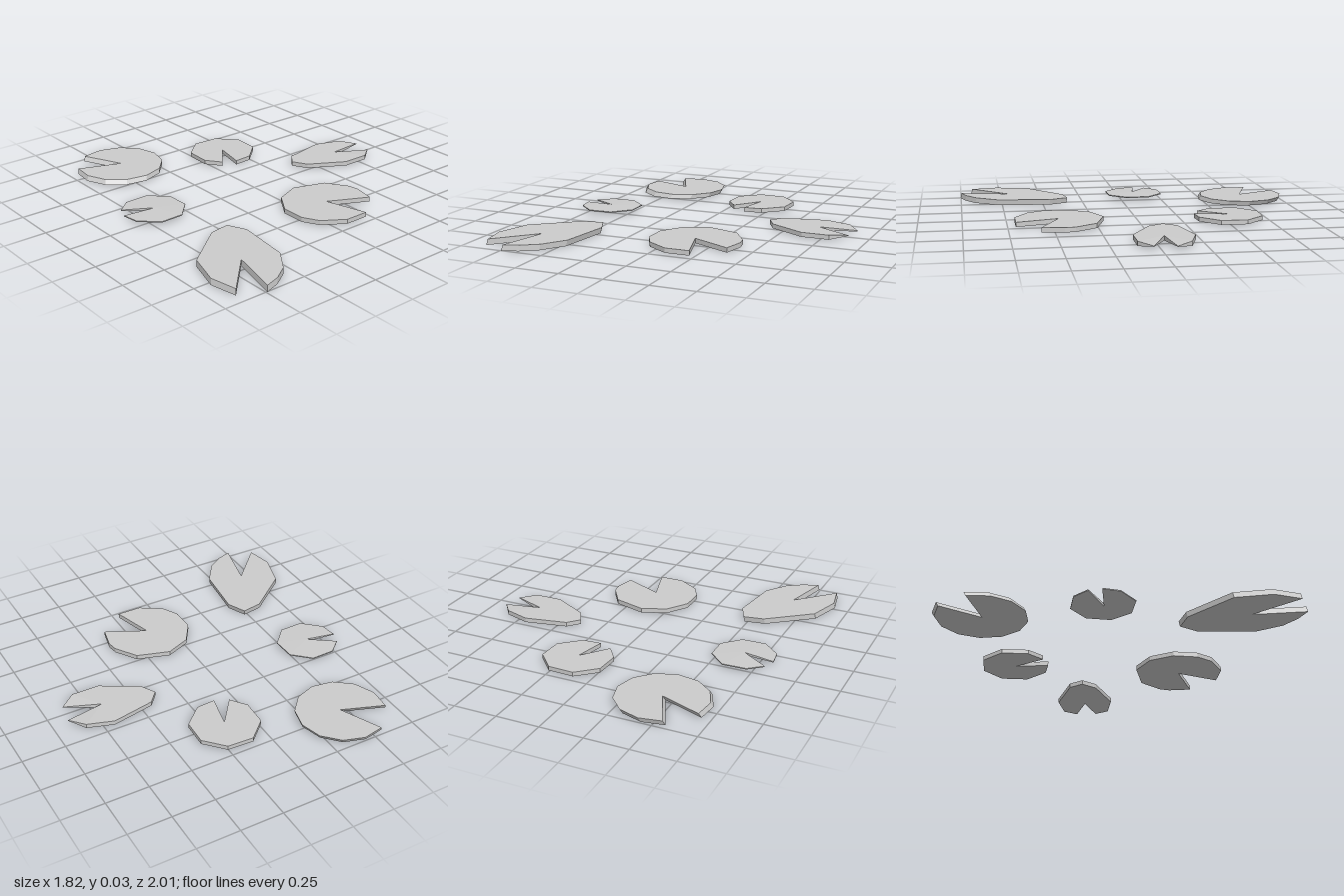
import * as THREE from 'three';

const material = new THREE.MeshStandardMaterial({ color: 0xcccccc, flatShading: true });

// Evenly spaced angles in degrees
const steps = (first, step, count) => Array.from({ length: count }, (_, i) => first + i * step);

// Rim of a round leaf: points on a circle, running from one notch tip to the other
function roundRim(x, z, radius, angles) {
  return angles.map((degrees) => {
    const a = THREE.MathUtils.degToRad(degrees);
    return [x + radius * Math.cos(a), z + radius * Math.sin(a)];
  });
}

// A flat leaf: a fan from the notch point above and below, joined by a wall.
// lean shifts the top sideways, pinch thins the notch tips, bulge thickens the heart.
function pad(name, heart, rim, { low, high, lean = 0, pinch = 0, bulge = 0 }) {
  const points = [heart, ...rim];
  const n = points.length;
  const middle = THREE.MathUtils.lerp(low, high, 0.65);

  // Top ring followed by bottom ring
  const positions = [];
  for (const side of [1, -1]) {
    points.forEach(([x, z], i) => {
      let y = side > 0 ? high : low;
      if (i === 0) y += side * bulge;
      if (i === 1 || i === n - 1) y = THREE.MathUtils.lerp(y, middle, pinch);
      positions.push(x + side * lean, y, z - side * lean);
    });
  }

  const index = [];
  for (let i = 0; i < n; i++) {
    const j = (i + 1) % n;
    if (i > 0 && j > 0) index.push(0, j, i, n, n + i, n + j);
    index.push(i, j, n + i, j, n + j, n + i);
  }

  const ring = new THREE.BufferGeometry();
  ring.setAttribute('position', new THREE.Float32BufferAttribute(positions, 3));
  ring.setIndex(index);
  const geometry = ring.toNonIndexed();
  geometry.computeVertexNormals();
  const mesh = new THREE.Mesh(geometry, material);
  mesh.name = name;
  return mesh;
}

export function createModel() {
  const group = new THREE.Group();
  group.name = 'lilyPads';

  // Two large round pads
  group.add(pad('backRoundPad', [-0.45, -0.74],
    roundRim(-0.45, -0.743, 0.257, steps(245, 28.64, 12)),
    { low: 0.003, high: 0.03, lean: 0.006 }));
  group.add(pad('frontRoundPad', [0.15, 0.46],
    roundRim(0.15, 0.457, 0.258, [74, 106, 140, 164, 196, 230, 265, 310, 344, 358, 387]),
    { low: 0.003, high: 0.03 }));

  // Two small eight-sided pads
  group.add(pad('backSmallPad', [0.17, -0.52],
    roundRim(0.17, -0.525, 0.2, [127, ...steps(160, 45, 7), 462]),
    { low: 0.005, high: 0.03 }));
  group.add(pad('thinSmallPad', [-0.65, -0.09],
    roundRim(-0.65, -0.095, 0.182, [212, ...steps(246, 45, 7), 548]),
    { low: 0.018, high: 0.024, bulge: 0.005 }));

  // Two stretched pads
  const pointedRim = [[0.89, 0.04], [0.8, 0.11], [0.64, 0.11], [0.43, -0.01], [0.38, -0.1],
    [0.44, -0.17], [0.69, -0.22], [0.84, -0.17], [0.91, -0.08]];
  group.add(pad('pointedPad', [0.69, -0.05], pointedRim, { low: 0.004, high: 0.03, pinch: 0.85 }));

  const longRim = [[-0.88, 0.93], [-0.91, 0.77], [-0.85, 0.57], [-0.6, 0.37], [-0.48, 0.35],
    [-0.43, 0.46], [-0.47, 0.78], [-0.56, 0.91], [-0.65, 0.97], [-0.74, 1]];
  group.add(pad('longPad', [-0.67, 0.71], longRim, { low: 0, high: 0.033, lean: 0.003 }));

  return group;
}
